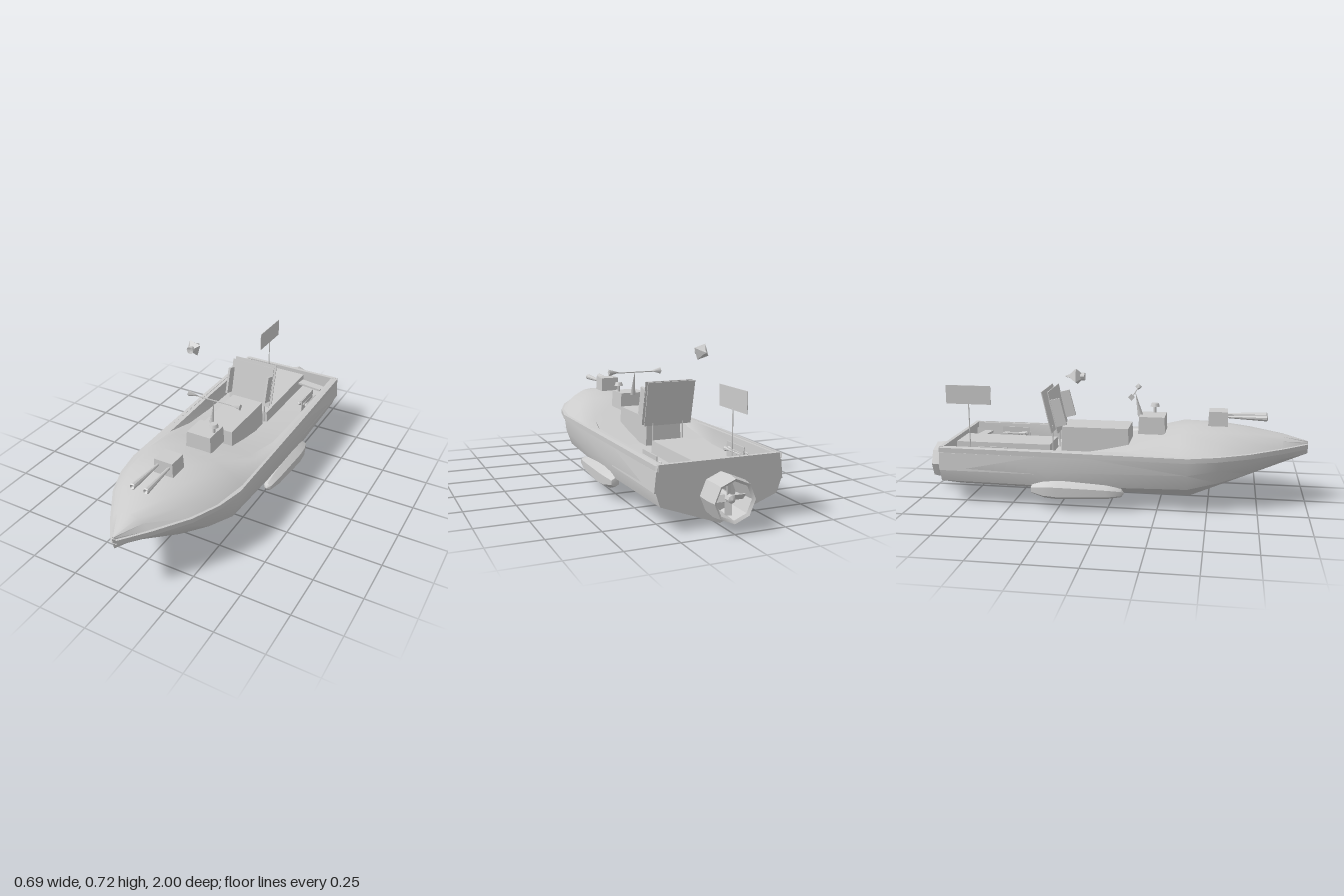
import * as THREE from 'three';
import { toCreasedNormals } from 'three/addons/utils/BufferGeometryUtils.js';

const mat = new THREE.MeshStandardMaterial({ color: 0xcccccc });
const thinMat = new THREE.MeshStandardMaterial({ color: 0xcccccc, side: THREE.DoubleSide });

function add(parent, name, geo, pos = [0, 0, 0], rot = [0, 0, 0], m = mat) {
  const mesh = new THREE.Mesh(geo, m);
  mesh.name = name;
  mesh.position.set(...pos);
  mesh.rotation.set(...rot);
  parent.add(mesh);
  return mesh;
}

// Skin over rows of points (all rows equally long)
function skin(rows, crease = 0.6) {
  const n = rows[0].length, idx = [];
  for (let i = 0; i < rows.length - 1; i++)
    for (let j = 0; j < n - 1; j++) {
      const a = i * n + j, d = a + n;
      idx.push(a, d, a + 1, a + 1, d, d + 1);
    }
  const g = new THREE.BufferGeometry();
  g.setAttribute('position', new THREE.Float32BufferAttribute(rows.flat(2), 3));
  g.setIndex(idx);
  return toCreasedNormals(g, crease);
}

// Half section [x, y, x, y, ...] from the side to the centreline, mirrored to a full row
function mirrorRow([z, ...v]) {
  const half = [];
  for (let i = 0; i < v.length; i += 2) half.push([v[i], v[i + 1], z]);
  return [...half, ...half.slice(0, -1).reverse().map(([x, y]) => [-x, y, z])];
}

// Turned shape along z from [radius, z] pairs with rising z
function turned(pts, sides, crease = 0.6) {
  const g = new THREE.LatheGeometry(pts.map(p => new THREE.Vector2(...p)), sides).rotateX(Math.PI / 2);
  g.deleteAttribute('normal');
  return toCreasedNormals(g, crease);
}

// Box whose top is narrowed
function taperedBox(w, h, d, kx, kz) {
  const g = new THREE.BoxGeometry(w, h, d), p = g.attributes.position;
  for (let i = 0; i < p.count; i++)
    if (p.getY(i) > 0) { p.setX(i, p.getX(i) * kx); p.setZ(i, p.getZ(i) * kz); }
  return toCreasedNormals(g, 0.4);
}

export function createModel() {
  const boat = new THREE.Group();
  boat.name = 'patrolBoat';

  // Hull, stern to bow: z, sheer, side, chine, keel
  const hullRows = [
    [-0.87, 0.295, 0.295, 0.31, 0.19, 0.285, 0.115, 0, 0.01],
    [-0.3, 0.3, 0.295, 0.315, 0.19, 0.3, 0.115, 0, 0.003],
    [0.4, 0.3, 0.29, 0.3, 0.2, 0.27, 0.12, 0, 0],
    [0.55, 0.27, 0.295, 0.26, 0.22, 0.22, 0.145, 0, 0.065],
    [0.7, 0.21, 0.3, 0.195, 0.245, 0.15, 0.18, 0, 0.13],
    [0.87, 0.1, 0.305, 0.09, 0.275, 0.06, 0.24, 0, 0.204],
    [1, 0.004, 0.31, 0.004, 0.29, 0.003, 0.275, 0, 0.26],
  ].map(mirrorRow);
  add(boat, 'hull', skin(hullRows), undefined, undefined, thinMat);

  // Transom closing the stern
  const stern = new THREE.Shape(hullRows[0].map(([x, y]) => new THREE.Vector2(x, y)));
  add(boat, 'transom', new THREE.ShapeGeometry(stern), [0, 0, -0.87], undefined, thinMat);
  add(boat, 'sternCoaming', new THREE.BoxGeometry(0.59, 0.03, 0.02), [0, 0.283, -0.862]);

  // Foredeck flowing into the sunken open well, bow to stern
  const deckRows = [
    [1, 0.004, 0.31, 0.003, 0.318, 0.002, 0.324, 0, 0.325],
    [0.87, 0.1, 0.305, 0.07, 0.335, 0.04, 0.352, 0, 0.358],
    [0.7, 0.21, 0.3, 0.16, 0.343, 0.09, 0.372, 0, 0.385],
    [0.55, 0.27, 0.298, 0.22, 0.345, 0.13, 0.382, 0, 0.4],
    [0.36, 0.3, 0.295, 0.23, 0.35, 0.15, 0.382, 0, 0.385],
    [0.13, 0.3, 0.295, 0.26, 0.3, 0.22, 0.302, 0, 0.305],
    [-0.05, 0.3, 0.295, 0.265, 0.296, 0.245, 0.262, 0, 0.262],
    [-0.3, 0.3, 0.295, 0.27, 0.296, 0.265, 0.215, 0, 0.215],
    [-0.86, 0.295, 0.295, 0.27, 0.296, 0.26, 0.205, 0, 0.205],
  ].map(mirrorRow);
  add(boat, 'deck', skin(deckRows), undefined, undefined, thinMat);

  // Rub rails and aft side panels
  for (const s of [1, -1]) {
    const rail = hullRows.map(([[x, y, z]]) => {
      const o = x + 0.012, b = y - 0.024;
      return [[x - 0.01, y + 0.003], [o, y], [o, b], [x - 0.01, b], [x - 0.01, y + 0.003]].map(([a, c]) => [s * a, c, z]);
    });
    add(boat, 'rubRail', skin(rail, 0.3), undefined, undefined, thinMat);
    add(boat, 'sidePanel', new THREE.BoxGeometry(0.012, 0.09, 0.5), [s * 0.302, 0.222, -0.62], [0, 0, s * 0.1]);
    // Side floats
    add(boat, 'sideFloat', turned([[0, -0.39], [0.022, -0.385], [0.044, -0.32], [0.05, -0.25], [0.036, 0], [0.022, 0.075], [0, 0.09]], 6, 0.9),
      [s * 0.302, 0.098, 0]);
    // Stowed gear on the well sides
    add(boat, 'gearBoard', new THREE.BoxGeometry(0.005, 0.075, 0.16), [s * 0.22, 0.25, -0.61]);
    for (const k of [-1, 0, 1])
      add(boat, 'gearBottle', turned([[0, -0.08], [0.004, -0.075], [0.005, 0.02], [0.012, 0.06], [0, 0.08]], 6), [s * 0.22 + k * 0.022, 0.255, -0.61]);
  }

  // Cabin, engine cover and stern bench
  add(boat, 'cabin', taperedBox(0.19, 0.14, 0.36, 0.95, 0.97), [0, 0.305, -0.095]);
  add(boat, 'engineCover', taperedBox(0.19, 0.075, 0.52, 0.94, 0.99), [0, 0.237, -0.595]);
  add(boat, 'sternBench', new THREE.BoxGeometry(0.15, 0.012, 0.05), [0.17, 0.25, -0.79], [0, -0.15, 0]);

  // Sloping double shield with side wings and posts
  for (const z of [-0.312, -0.345])
    add(boat, 'shieldPlate', new THREE.BoxGeometry(0.25, 0.225, 0.005), [0, 0.455, z], [-0.22, 0, 0]);
  for (const s of [1, -1]) {
    add(boat, 'shieldWing', new THREE.BoxGeometry(0.012, 0.145, 0.06), [s * 0.117, 0.457, -0.285], [-0.25, 0, 0]);
    add(boat, 'shieldPost', new THREE.CylinderGeometry(0.004, 0.004, 0.16, 5), [s * 0.08, 0.3, -0.323]);
  }

  // Bow turret with twin flared barrels
  add(boat, 'bowTurret', taperedBox(0.105, 0.075, 0.1, 0.95, 0.95), [0, 0.435, 0.54]);
  for (const s of [1, -1])
    add(boat, 'barrel', turned([[0, 0], [0.006, 0], [0.016, 0.215], [0.012, 0.22], [0, 0.2]], 10), [s * 0.03, 0.445, 0.57], [0, s * 0.03, 0]);

  // Second turret with hatch and rotating bar antenna
  add(boat, 'midTurret', taperedBox(0.145, 0.09, 0.14, 0.93, 0.95), [0, 0.392, 0.2]);
  add(boat, 'hatchStem', new THREE.CylinderGeometry(0.008, 0.008, 0.05, 6), [0.055, 0.455, 0.205]);
  add(boat, 'hatch', new THREE.CylinderGeometry(0.018, 0.025, 0.018, 8), [0.055, 0.479, 0.205]);
  add(boat, 'antennaMast', new THREE.ConeGeometry(0.015, 0.13, 4), [0, 0.49, 0.12], [-0.22, 0, 0]);
  add(boat, 'antennaBar', new THREE.BoxGeometry(0.26, 0.005, 0.004), [0, 0.553, 0.104]);
  for (const s of [1, -1])
    add(boat, 'antennaTip', new THREE.ConeGeometry(0.018, 0.06, 4), [s * 0.12, 0.556, 0.104], [0, 0, s * Math.PI / 2]);

  // Flag on its pole
  add(boat, 'flagPole', new THREE.CylinderGeometry(0.003, 0.003, 0.29, 5), [-0.11, 0.345, -0.77]);
  add(boat, 'flag', new THREE.BoxGeometry(0.003, 0.1, 0.245), [-0.11, 0.535, -0.77]);

  // Hovering lamp
  const lamp = add(boat, 'hoverLamp', turned([[0, -0.06], [0.004, -0.055], [0.012, -0.035], [0.047, 0], [0.02, 0.025], [0, 0.025]], 4), [-0.27, 0.677, -0.15], [0, 0, 0.5]);
  add(lamp, 'lampLens', turned([[0, 0], [0.02, 0], [0.02, 0.04], [0.012, 0.036], [0, 0.036]], 12));

  // Shrouded propeller at the stern
  const drive = new THREE.Group();
  drive.name = 'propulsor';
  drive.position.set(0, 0.143, -0.93);
  boat.add(drive);
  add(drive, 'shroud', turned([[0.075, 0.06], [0.085, -0.06], [0.098, -0.07], [0.105, -0.02], [0.1, 0.06]], 8, 0.5), undefined, undefined, thinMat);
  add(drive, 'hub', turned([[0, -0.05], [0.018, -0.04], [0.024, 0.06], [0, 0.06]], 8));
  for (let i = 0; i < 4; i++) {
    const arm = new THREE.Group();
    arm.name = 'propellerBlade';
    arm.rotation.z = i * Math.PI / 2;
    drive.add(arm);
    add(arm, 'blade', new THREE.BoxGeometry(0.032, 0.07, 0.005), [0, 0.042, -0.01], [0, 0.6, 0]);
  }
  return boat;
}
